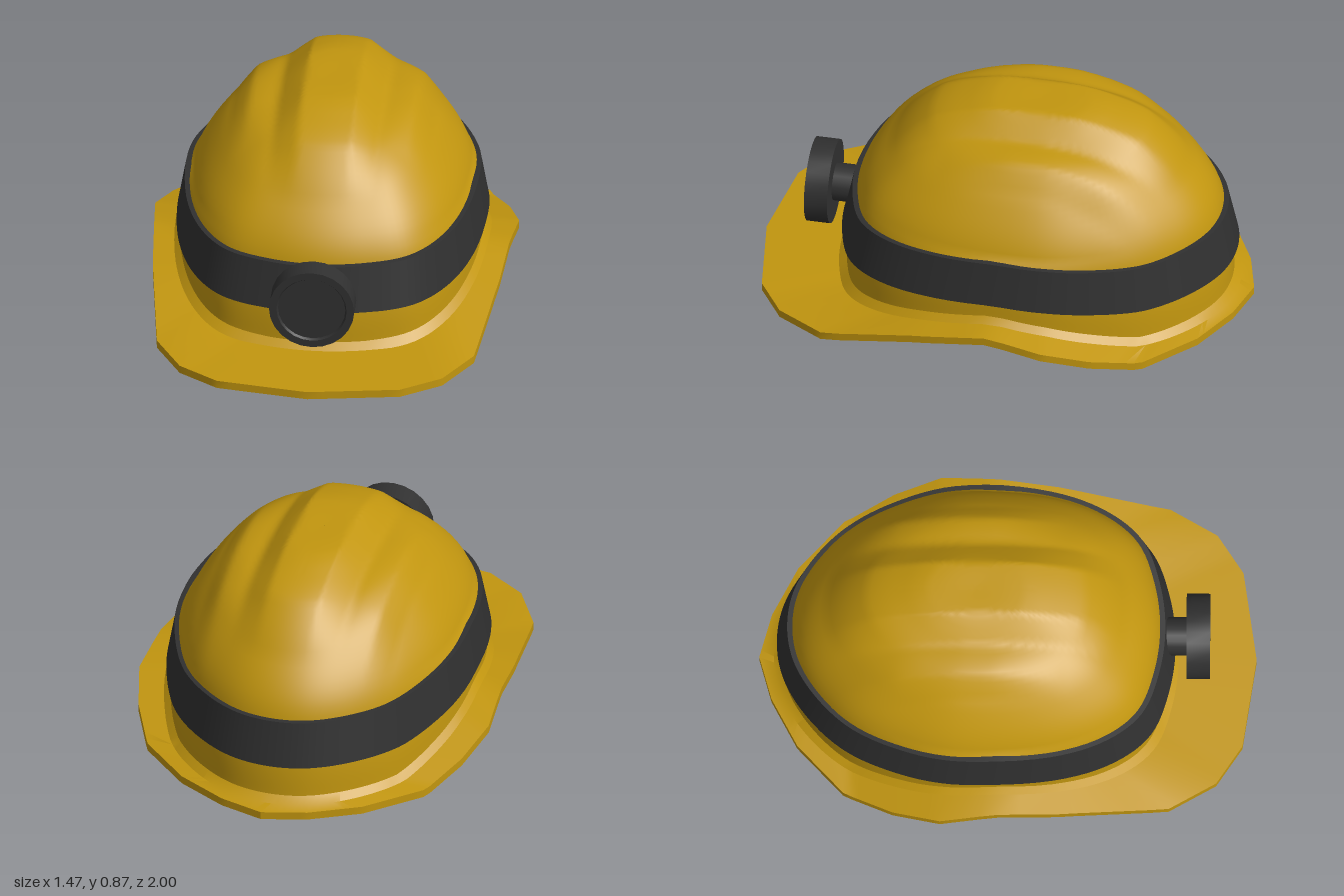
import * as THREE from 'three';
import { toCreasedNormals } from 'three/addons/utils/BufferGeometryUtils.js';

const PER_EDGE = 6;
const CENTRE_Z = -0.13;

// Piecewise linear lookup through [key, value] pairs with rising keys
function lookup(table, v) {
  if (v <= table[0][0]) return table[0][1];
  for (let i = 1; i < table.length; i++) {
    const [a, ya] = table[i - 1], [b, yb] = table[i];
    if (v <= b) return ya + (yb - ya) * (v - a) / (b - a);
  }
  return table[table.length - 1][1];
}

// Mirrors a half outline (back to front) and subdivides it into a closed ring
function outline(half, smooth) {
  const pts = half.map(([x, z]) => new THREE.Vector3(x, 0, z));
  for (let i = half.length - 2; i > 0; i--) pts.push(new THREE.Vector3(-half[i][0], 0, half[i][1]));
  const n = pts.length * PER_EDGE;
  const curve = new THREE.CatmullRomCurve3(pts, true, 'centripetal');
  return Array.from({ length: n }, (_, i) => {
    if (smooth) return curve.getPoint(i / n);
    const k = Math.floor(i / PER_EDGE);
    return pts[k].clone().lerp(pts[(k + 1) % pts.length], (i % PER_EDGE) / PER_EDGE);
  });
}

// Scales a ring about the helmet's centre and sets its height by a rule
function ringAt(base, s, heightRule) {
  return base.map((p) => {
    const x = p.x * s, z = CENTRE_Z + (p.z - CENTRE_Z) * s;
    return new THREE.Vector3(x, heightRule(x, z), z);
  });
}

// Skins a list of closed rings
function loft(rings, crease) {
  const n = rings[0].length, pos = [], index = [];
  rings.forEach((r) => r.forEach((p) => pos.push(p.x, p.y, p.z)));
  for (let j = 0; j < rings.length - 1; j++) {
    for (let i = 0; i < n; i++) {
      const a = j * n + i, b = j * n + (i + 1) % n, c = a + n, d = b + n;
      index.push(a, c, b, b, c, d);
    }
  }
  const g = new THREE.BufferGeometry();
  g.setAttribute('position', new THREE.Float32BufferAttribute(pos, 3));
  g.setIndex(index);
  return toCreasedNormals(g, crease);
}

const DOME = [[0, -0.91], [0.15, -0.885], [0.3, -0.8], [0.44, -0.66], [0.54, -0.47], [0.605, -0.22],
  [0.585, 0.18], [0.5, 0.42], [0.38, 0.56], [0.2, 0.63], [0, 0.655]];
const BRIM = [[0, -1], [0.18, -0.95], [0.38, -0.845], [0.58, -0.66], [0.68, -0.46], [0.735, -0.27],
  [0.7, 0.2], [0.64, 0.65], [0.53, 0.84], [0.37, 0.945], [0, 1]];
// The brim arches up over the ears
const LIFT = [[-1, 0], [-0.63, 0.005], [-0.27, 0.1], [-0.05, 0.135], [0.25, 0.085], [0.63, 0], [1, 0]];
const lift = (z) => lookup(LIFT, z);

// Raised centre ridge and side shoulders on the crown
const CENTRE_RIDGE = [[0, 1], [0.11, 1], [0.21, 0]];
const SHOULDER = [[0.23, 0], [0.335, 1], [0.41, 0]];
const RIDGE_FADE = [[0.25, 0.065], [0.4, 0.055], [0.567, 0.045], [0.78, 0]];
const SHOULDER_FADE = [[0.2, 0.025], [0.48, 0]];
function ridge(x, z, s) {
  const ax = Math.abs(x);
  return lookup(CENTRE_RIDGE, ax) * lookup(RIDGE_FADE, s)
    + lookup(SHOULDER, ax) * lookup(SHOULDER_FADE, Math.abs(z + 0.25));
}

export function createModel() {
  const group = new THREE.Group();
  const yellow = new THREE.MeshStandardMaterial({ color: 0xc2960f });
  yellow.name = 'safety yellow';
  const black = new THREE.MeshStandardMaterial({ color: 0x303030 });
  black.name = 'dark rubber';

  const add = (name, geometry, material, parent = group) => {
    const mesh = new THREE.Mesh(geometry, material);
    mesh.name = name;
    parent.add(mesh);
    return mesh;
  };

  const domeRing = outline(DOME, true);
  const brimRing = outline(BRIM, false);

  // Dome: scale of the outline against height
  const profile = new THREE.SplineCurve([[1, 0.065], [0.985, 0.21], [0.925, 0.45], [0.75, 0.63],
    [0.567, 0.735], [0.367, 0.785], [0.2, 0.8], [0.001, 0.8]]
    .map(([s, y]) => new THREE.Vector2(s, y))).getPoints(49);
  const shell = (scale, drop) => profile.map(({ x: s, y }) => {
    const follow = THREE.MathUtils.clamp((s - 0.925) / 0.075, 0, 1);
    return ringAt(domeRing, s * scale, (x, z) => y - drop + lift(z) * follow + ridge(x, z, s));
  });
  add('dome', loft(shell(1, 0), 0.7), yellow);

  // Inner lining, facing inwards and meeting the underside of the brim
  const lining = shell(0.94, 0.03);
  lining[0] = ringAt(domeRing, 0.94, (x, z) => lift(z) + 0.004);
  add('lining', loft(lining.reverse(), 0.7), yellow);

  // Brim with a small fillet up to the dome
  add('brim', loft([
    ringAt(domeRing, 0.94, (x, z) => lift(z) + 0.004),
    ringAt(brimRing, 1, (x, z) => lift(z)),
    ringAt(brimRing, 1, (x, z) => lift(z) + 0.033),
    ringAt(domeRing, 1.04, (x, z) => lift(z) + 0.042),
    ringAt(domeRing, 0.998, (x, z) => lift(z) + 0.068),
  ], 0.5), yellow);

  // Head strap, a closed band around the dome
  const low = (x, z) => 0.212 + lift(z) * 0.38;
  const high = (x, z) => 0.402 + lift(z) * 0.34;
  add('strap', loft([
    ringAt(domeRing, 0.97, low),
    ringAt(domeRing, 1.025, low),
    ringAt(domeRing, 0.972, high),
    ringAt(domeRing, 0.925, high),
    ringAt(domeRing, 0.97, low),
  ], 0.6), black);

  // Head lamp on a short neck
  const lamp = new THREE.Group();
  lamp.name = 'headLamp';
  lamp.position.set(0, 0.306, 0);
  group.add(lamp);
  const neck = add('lampNeck', new THREE.CylinderGeometry(0.077, 0.077, 0.14, 20), black, lamp);
  neck.rotation.x = Math.PI / 2;
  neck.position.z = 0.66;
  const body = [[0, 0], [0.172, 0], [0.172, 0.095], [0.142, 0.095], [0.136, 0.085], [0, 0.085]]
    .map(([r, h]) => new THREE.Vector2(r, h));
  const housing = add('lampHousing',
    toCreasedNormals(new THREE.LatheGeometry(body, 24), 0.5), black, lamp);
  housing.rotation.x = Math.PI / 2;
  housing.position.z = 0.718;

  return group;
}
